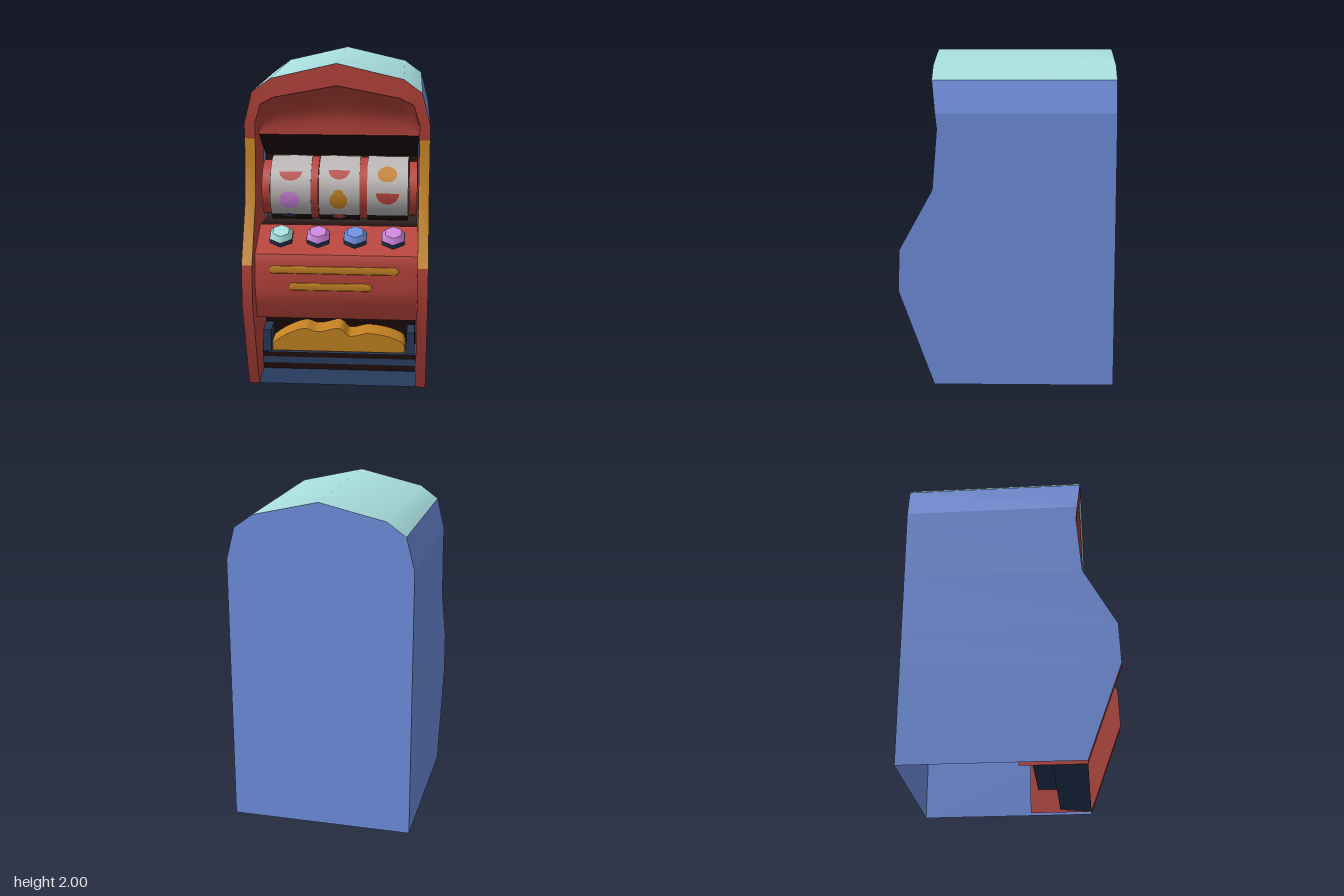
import * as THREE from 'three';

const mat = (name, color, side = THREE.DoubleSide) => {
  const m = new THREE.MeshStandardMaterial({ color, side });
  m.name = name;
  return m;
};

// Smooth surface through rows of [x, y, z] points
function sheet(rows) {
  const n = rows[0].length, index = [];
  for (let r = 0; r < rows.length - 1; r++) {
    for (let c = 0; c < n - 1; c++) {
      const a = r * n + c, b = a + 1, d = a + n, e = d + 1;
      index.push(a, b, e, a, e, d);
    }
  }
  const g = new THREE.BufferGeometry();
  g.setAttribute('position', new THREE.Float32BufferAttribute(rows.flat(2), 3));
  g.setIndex(index);
  g.computeVertexNormals();
  return g;
}

// Panel of constant half width swept along [z, y] points
const panel = (halfW, profile) => sheet(profile.map(([z, y]) => [[-halfW, y, z], [halfW, y, z]]));

export function createModel() {
  const red = mat('red', 0xb8443c), blue = mat('blue', 0x7090e0), cyan = mat('pale cyan', 0xa9dfe0);
  const gold = mat('gold', 0xc48222), navy = mat('navy', 0x273a5c), black = mat('dark maroon', 0x200d0c);
  const white = mat('reel white', 0xbbb7b6), pink = mat('pink', 0xcc86dc);

  const root = new THREE.Group();
  const add = (name, geo, material, x = 0, y = 0, z = 0, parent = root) => {
    const m = new THREE.Mesh(geo, material);
    m.name = name;
    m.position.set(x, y, z);
    parent.add(m);
    return m;
  };

  // Half outlines of the cabinet front: outer x, y, inner x, y, z
  const BACK = -0.64;
  const half = [
    [0.55, 0, 0.487, 0, 0.44], [0.55, 0.58, 0.487, 0.58, 0.65], [0.55, 0.83, 0.487, 0.83, 0.64],
    [0.55, 1.19, 0.487, 1.19, 0.44], [0.55, 1.55, 0.487, 1.55, 0.41], [0.55, 1.64, 0.487, 1.64, 0.42],
    [0.5, 1.83, 0.45, 1.76, 0.44], [0.39, 1.91, 0.37, 1.8, 0.44], [0, 2, 0, 1.87, 0.44],
  ];

  // Cabinet sides, front frame and inner cheeks
  for (const s of [1, -1]) {
    const side = s > 0 ? 'left' : 'right';
    const outer = half.map(([x, y, , , z]) => [s * x, y, z]);
    const inner = half.map(([, , x, y, z]) => [s * x, y, z]);
    const span = (pts, a, b) => pts.slice(a, b + 1);
    const toBack = (pts, z) => pts.map(([x, y]) => [x, y, z]);
    const wall = (a, b) => {
      const o = span(outer, a, b), back = toBack(o, BACK);
      return s > 0 ? sheet([back, o]) : sheet([o, back]);
    };
    const trim = (a, b) => {
      const o = span(outer, a, b), i = span(inner, a, b);
      return s > 0 ? sheet([o, i]) : sheet([i, o]);
    };
    add(side + 'Side', wall(0, 5), blue);
    add(side + 'Shoulder', wall(5, 6), blue);
    add(side + 'LowerFrame', trim(0, 2), red);
    add(side + 'GoldFrame', trim(2, 4), gold);
    add(side + 'UpperFrame', trim(4, 8), red);
    const cheek = span(inner, 0, 5), deep = toBack(cheek, 0.05);
    add(side + 'Cheek', s > 0 ? sheet([cheek, deep]) : sheet([deep, cheek]), red);
  }

  // Roof
  const arch = [...half.slice(6), ...half.slice(6, 8).reverse().map(([x, ...r]) => [-x, ...r])];
  add('roof', sheet([arch.map(([x, y]) => [x, y, BACK]), arch.map(([x, y, , , z]) => [x, y, z])]), cyan);

  // Back wall
  const outline = [...half.map(([x, y]) => [x, y]), ...half.slice(0, 8).reverse().map(([x, y]) => [-x, y])];
  const backShape = new THREE.Shape(outline.map(([x, y]) => new THREE.Vector2(x, y)));
  const backWall = add('backWall', new THREE.ShapeGeometry(backShape), blue, 0, 0, BACK);
  backWall.rotation.y = Math.PI;

  // Curved hood under the arch
  const tops = [[-0.487, 1.64], [-0.45, 1.76], [-0.37, 1.8], [0, 1.87], [0.37, 1.8], [0.45, 1.76], [0.487, 1.64]];
  const hood = [];
  for (let i = 0; i <= 8; i++) {
    const t = i / 8;
    hood.push(tops.map(([x, top]) => [x, 1.55 + t * (top - 1.55), 0.26 + 0.17 * t ** 3]));
  }
  add('hood', sheet(hood), red);

  // Dark recess behind the reels
  add('recessCeiling', panel(0.485, [[0, 1.38], [0.26, 1.55]]), black);
  add('recessBack', panel(0.485, [[0.26, 0.98], [0, 0.96], [0, 1.38]]), black);

  // Reels with curved symbol patches
  const CY = 1.19, CZ = 0.1, R = 0.2;
  const drum = (r, w, n = 32) => new THREE.CylinderGeometry(r, r, w, n).rotateZ(Math.PI / 2);
  const patch = (name, material, x, y, rx, ry, arc) => {
    const g = new THREE.RingGeometry(0.001, 1, 18, 4, arc ? Math.PI : 0, arc ? Math.PI : Math.PI * 2);
    const p = g.attributes.position;
    for (let i = 0; i < p.count; i++) {
      const py = y + p.getY(i) * ry;
      const ang = Math.asin(Math.max(-1, Math.min(1, (py - CY) / (R + 0.005))));
      p.setXYZ(i, x + p.getX(i) * rx, py, CZ + Math.cos(ang) * (R + 0.005));
    }
    g.computeVertexNormals();
    add(name, g, material);
  };
  const deg = Math.PI / 180;
  for (const x of [-0.295, 0.003, 0.3]) {
    add('reel', drum(R, 0.25), white, x, CY, CZ);
    const shade = new THREE.CylinderGeometry(R + 0.003, R + 0.003, 0.25, 16, 1, true, -110 * deg, 66 * deg);
    add('reelUnderside', shade.rotateZ(Math.PI / 2), black, x, CY, CZ);
  }
  for (const x of [-0.15, 0.15]) add('reelDivider', drum(R - 0.005, 0.05), red, x, CY, CZ);
  for (const x of [-0.45, 0.455]) add('reelEndCap', drum(R - 0.03, 0.05), red, x, CY, CZ);
  patch('redSymbol', red, -0.295, 1.32, 0.07, 0.05, true);
  patch('pinkSymbol', pink, -0.3, 1.15, 0.065, 0.055);
  patch('navySymbol', navy, -0.31, 1.04, 0.04, 0.015);
  patch('redSymbol', red, 0.003, 1.33, 0.065, 0.05, true);
  patch('goldSymbol', gold, 0, 1.15, 0.055, 0.055);
  patch('goldSymbolTip', gold, 0, 1.2, 0.03, 0.02);
  patch('redSymbol', red, 0, 1.035, 0.04, 0.015);
  patch('goldSymbol', gold, 0.297, 1.31, 0.06, 0.042);
  patch('redSymbol', red, 0.3, 1.2, 0.07, 0.07, true);

  // Console and its gold stripes
  add('consoleTop', panel(0.487, [[0.51, 0.865], [0.26, 0.985]]), red);
  add('consoleFront', panel(0.487, [[0.46, 0.445], [0.51, 0.56], [0.53, 0.64], [0.53, 0.81], [0.51, 0.865]]), red);
  const stripe = (w) => new THREE.CapsuleGeometry(0.024, w - 0.048, 4, 10).rotateZ(Math.PI / 2).scale(1, 1, 0.2);
  add('upperStripe', stripe(0.78), gold, -0.012, 0.775, 0.53);
  add('lowerStripe', stripe(0.5), gold, -0.032, 0.67, 0.53);

  // Faceted buttons on the sloping top
  [[-0.34, cyan], [-0.115, pink], [0.11, blue], [0.34, pink]].forEach(([x, color]) => {
    const button = new THREE.Group();
    button.name = 'button';
    button.position.set(x, 0.928, 0.385);
    button.rotation.x = 0.45;
    root.add(button);
    const base = new THREE.CylinderGeometry(0.08, 0.076, 0.04, 6).toNonIndexed();
    const cap = new THREE.CylinderGeometry(0.055, 0.079, 0.035, 6).toNonIndexed();
    add('buttonBase', base, navy, 0, 0.01, 0, button);
    add('buttonCap', cap, color, 0, 0.047, 0, button);
  });

  // Coin tray
  add('trayCave', panel(0.485, [[0.1, 0.15], [0.1, 0.4], [0.46, 0.445]]), black);
  add('trayFloor', panel(0.487, [[0.44, 0.002], [0.24, 0.02]]), navy);
  add('trayRiser', panel(0.487, [[0.24, 0.02], [0.24, 0.06]]), black);
  add('trayLip', panel(0.487, [[0.245, 0.06], [0.24, 0.1]]), navy);
  add('trayShadowGap', panel(0.487, [[0.24, 0.1], [0.24, 0.15]]), black);
  add('trayShelf', panel(0.487, [[0.29, 0.15], [0.1, 0.155]]), navy);
  for (const x of [-0.455, 0.455]) add('trayEnd', new THREE.BoxGeometry(0.05, 0.14, 0.16), navy, x, 0.225, 0.2);

  // Heap of coins
  const heap = new THREE.Shape();
  heap.moveTo(-0.42, 0.16);
  heap.lineTo(-0.42, 0.21);
  heap.splineThru([[-0.33, 0.27], [-0.22, 0.31], [-0.13, 0.29], [0, 0.315], [0.07, 0.265], [0.18, 0.285],
    [0.3, 0.27], [0.4, 0.23], [0.42, 0.18]].map(([x, y]) => new THREE.Vector2(x, y)));
  heap.lineTo(0.41, 0.16);
  add('coins', new THREE.ExtrudeGeometry(heap, {
    depth: 0.13, curveSegments: 30, bevelThickness: 0.02, bevelSize: 0.005, bevelSegments: 2,
  }), gold, 0, 0, 0.13);

  return root;
}
